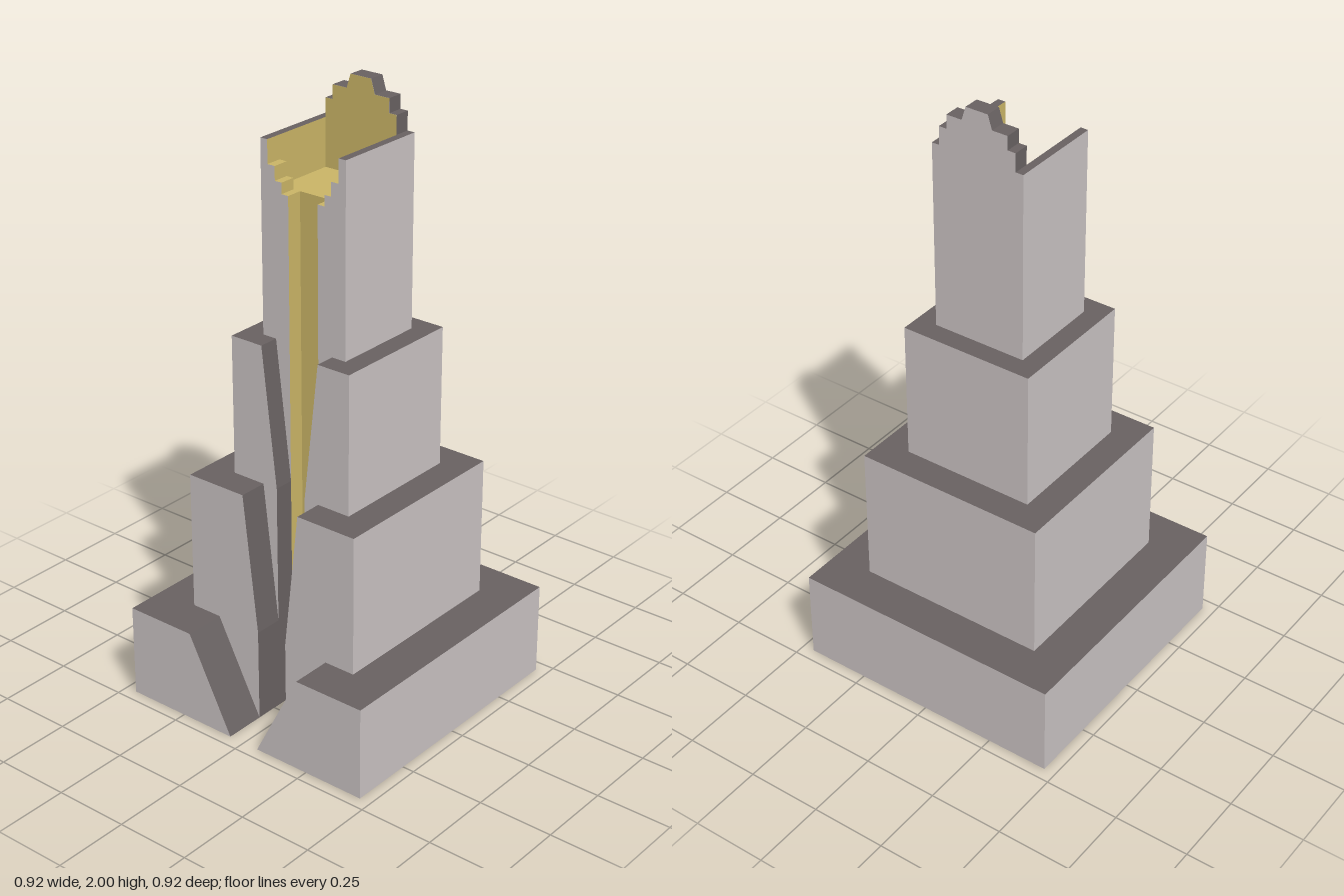
import * as THREE from 'three';

const mat = (name, color) => {
  const m = new THREE.MeshStandardMaterial({ color });
  m.name = name;
  return m;
};

export function createModel() {
  const tower = new THREE.Group();
  tower.name = 'steppedTower';
  const L = mat('lightStone', 0xc8c1c1);
  const D = mat('darkStone', 0x686161);
  const G = mat('gold', 0xc9b466);
  const STONE = [L, L, D, L, L, L];

  const add = (name, geo, mats) => {
    const mesh = new THREE.Mesh(geo, mats);
    mesh.name = name;
    tower.add(mesh);
    return mesh;
  };
  // box from its limits; materials in the order +x -x +y -y +z -z
  const box = (name, [x0, x1], [y0, y1], [z0, z1], mats = STONE) =>
    add(name, new THREE.BoxGeometry(x1 - x0, y1 - y0, z1 - z0), mats)
      .position.set((x0 + x1) / 2, (y0 + y1) / 2, (z0 + z1) / 2);
  // the same box on both sides of the tower
  const pair = (name, [x0, x1], y, z, mats = STONE) => {
    box(name + 'Left', [x0, x1], y, z, mats);
    box(name + 'Right', [-x1, -x0], y, z, [mats[1], mats[0], ...mats.slice(2)]);
  };
  const polygon = (pts) => new THREE.Shape(pts.map(([x, y]) => new THREE.Vector2(x, y)));
  const extrude = (name, shape, z0, z1, mats) =>
    add(name, new THREE.ExtrudeGeometry(shape, { depth: z1 - z0, bevelEnabled: false }), mats)
      .position.z = z0;

  const slot = 0.055;    // half width of the front channel
  const core = 0.158;    // half width of the central shaft
  const inner = 0.105;   // depth of the channel and of the top well
  const well = 0.132;    // half width of the top well
  const floor = 1.695;   // well floor
  const top = 1.85;      // shaft top

  // central shaft with the gold channel
  box('shaft', [-core, core], [0, floor], [-core, inner], [L, L, G, L, G, L]);
  pair('channelCheek', [slot, core], [0, floor], [inner, core], [L, G, G, L, L, L]);

  // three stepped tiers, each split at the front by a V-shaped notch
  const tiers = [
    { name: 'base', half: 0.46, next: 0.322, y: [0, 0.31], notch: 0.215 },
    { name: 'middleTier', half: 0.322, next: 0.225, y: [0.31, 0.773], notch: 0.108 },
    { name: 'upperTier', half: 0.225, next: core, y: [0.773, 1.233], notch: 0.108 },
  ];
  for (const { name, half, next, y, notch } of tiers) {
    box(name + 'Back', [-core, core], y, [-half, -core]);
    pair(name + 'Side', [core, half], y, [-half, next]);
    if (next > core) pair(name + 'Inner', [slot, core], y, [core, next], [L, D, D, L, L, L]);
    pair(name + 'Front', [notch, half], y, [next, half]);
    for (const s of [1, -1]) {
      const wedge = polygon([[s * slot, y[0]], [s * notch, y[0]], [s * notch, y[1]]]);
      extrude(name + (s > 0 ? 'SlopeLeft' : 'SlopeRight'), wedge, next, half, [L, D]);
    }
  }

  // walls around the open well at the top
  pair('wellWall', [well, core], [floor, top], [-inner, core], [L, G, D, L, L, L]);
  box('wellBack', [-core, core], [floor, top], [-core, -inner], [L, L, D, L, G, L]);
  // stepped lips at the front opening
  pair('lowerLip', [0.08, 0.105], [floor, 1.73], [inner, core], [L, G, G, L, L, G]);
  pair('upperLip', [0.105, well], [floor, 1.775], [inner, core], [L, G, G, L, L, G]);

  // stepped crest on the back wall, gold on its front
  const edge = [[0.132, top], [0.132, 1.91], [0.105, 1.91], [0.105, 1.955], [0.052, 1.955], [0.038, 2]];
  const crest = polygon([...edge, ...edge.map(([x, y]) => [-x, y]).reverse()]);
  extrude('crest', crest, -core, -inner - 0.001, [L, D]);
  add('crestFace', new THREE.ShapeGeometry(crest), G).position.z = -inner;

  return tower;
}
